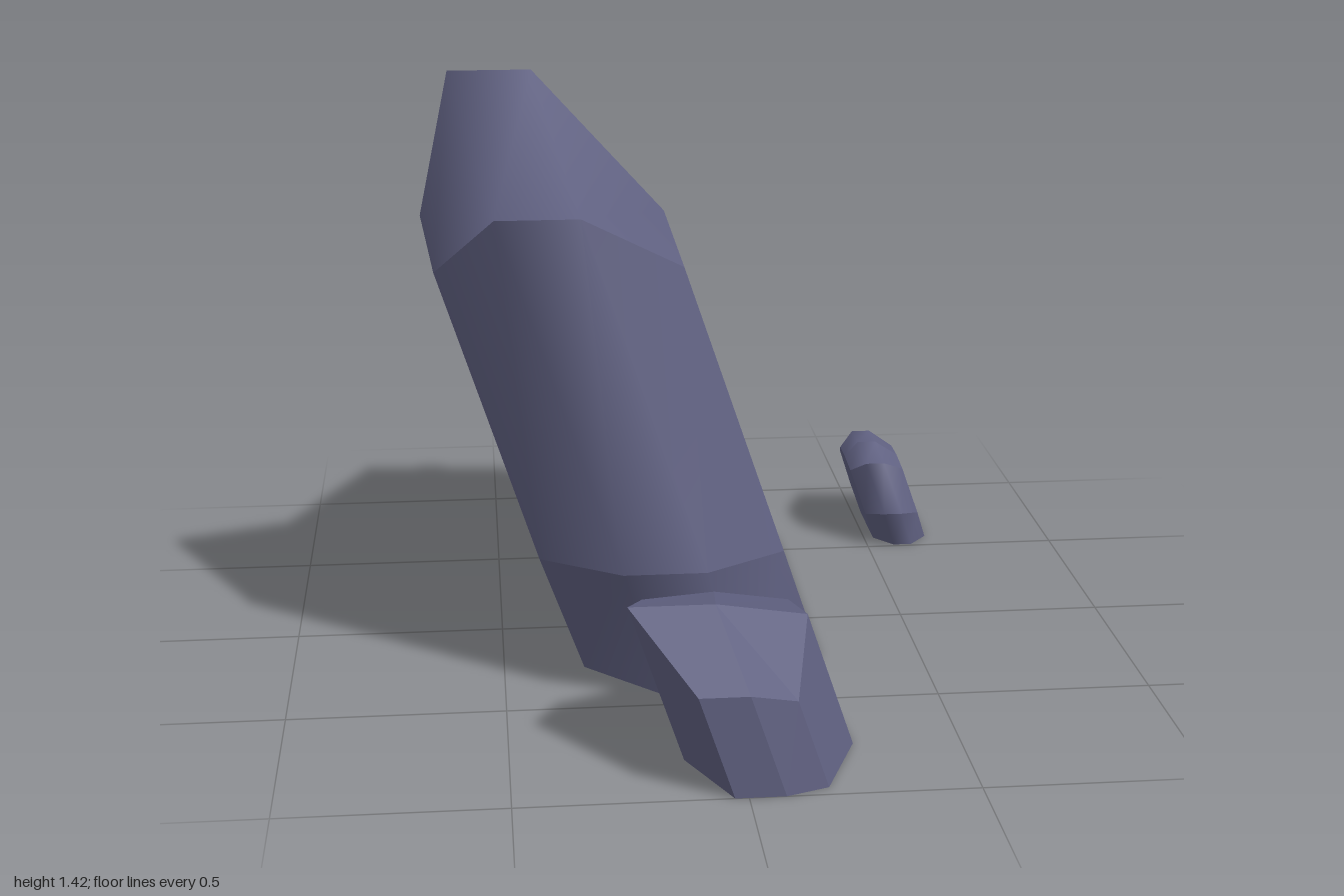
import * as THREE from 'three';

const LEAN = 0.337; // every stone leans towards -x by this much per unit of height
const lean = (x, y, z) => [x - LEAN * y, y, z];

const stone = new THREE.MeshStandardMaterial({ color: 0x5f6080, side: THREE.DoubleSide });
stone.name = 'slateStone';

function makeMesh(name, positions, index) {
  const g = new THREE.BufferGeometry();
  g.setAttribute('position', new THREE.Float32BufferAttribute(positions.flat(), 3));
  if (index) g.setIndex(index);
  g.computeVertexNormals();
  const m = new THREE.Mesh(g, stone);
  m.name = name;
  return m;
}

// Slab stone: outer and inner [z, y] profiles lofted over four x stations, smooth across each band
function slab(name, xs, outer, inner, caps) {
  const group = new THREE.Group();
  group.name = name;
  const rows = [inner, outer, outer, inner];
  const at = (c, i) => lean(xs[c], rows[c][i][1], rows[c][i][0]);
  for (let i = 0; i < outer.length - 1; i++) {
    const pos = [], idx = [];
    for (let c = 0; c < 4; c++) pos.push(at(c, i), at(c, i + 1));
    for (let c = 0; c < 3; c++) {
      const a = c * 2, b = a + 2;
      idx.push(a, b, b + 1, a, b + 1, a + 1);
    }
    group.add(makeMesh('rimBand' + i, pos, idx));
  }
  // Flat side faces
  const poly = [...inner].reverse();
  const tris = THREE.ShapeUtils.triangulateShape(poly.map(([z, y]) => new THREE.Vector2(-z, y)), []);
  for (const [c, label] of caps) {
    const pos = poly.map(([z, y]) => lean(xs[c], y, z));
    const idx = tris.flatMap(([a, b, d]) => (c === 3 ? [a, b, d] : [a, d, b]));
    group.add(makeMesh(label, pos, idx));
  }
  return group;
}

// Faceted front stone: a ring of walls under a ridged top, open towards the big slab
function frontStone() {
  const P = [ // x, z, top height
    [-0.12, 0.8, 0.36], [-0.03, 1.0, 0.23], [0.08, 1.0, 0.23], [0.175, 0.965, 0.2],
    [0.26, 0.75, 0.31], [0.23, 0.48, 0.24], [0.1, 0.43, 0.23],
    [0.07, 0.57, 0.3], [-0.09, 0.68, 0.33], [0.07, 0.8, 0.36],
  ];
  const top = (i) => lean(P[i][0], P[i][2], P[i][1]);
  const base = (i) => lean(P[i][0], 0, P[i][1]);
  const pos = [];
  const face = (a, b, c, d) => {
    pos.push(a, b, c);
    if (d) pos.push(a, c, d);
  };
  for (let i = 0; i < 6; i++) face(base(i), base(i + 1), top(i + 1), top(i));
  for (const f of [[0, 1, 2, 9], [9, 2, 3, 4], [9, 4, 5, 7], [7, 5, 6], [0, 9, 7, 8]]) face(...f.map(top));
  return makeMesh('frontStone', pos);
}

export function createModel() {
  const model = new THREE.Group();
  model.name = 'leaningStones';

  // Tall slab, open on its hidden side
  model.add(slab('tallSlab', [-0.31, -0.12, 0.07, 0.26],
    [[0.46, 0], [0.53, 0.33], [0.48, 1.14], [0.16, 1.42], [-0.17, 1.08], [-0.78, 0.85], [-1, 0.36], [-0.86, 0]],
    [[0.26, 0], [0.35, 0.31], [0.28, 0.98], [0.08, 1.07], [-0.1, 0.92], [-0.59, 0.7], [-0.75, 0.29], [-0.58, 0]],
    [[3, 'slabFace']]));

  model.add(frontStone());

  // Small pebble standing apart
  model.add(slab('pebble', [0.525, 0.572, 0.62, 0.668],
    [[-0.51, 0], [-0.475, 0.1], [-0.52, 0.23], [-0.59, 0.27], [-0.69, 0.27], [-0.82, 0.22], [-0.885, 0.09], [-0.85, 0]],
    [[-0.57, 0], [-0.54, 0.08], [-0.56, 0.2], [-0.61, 0.225], [-0.69, 0.225], [-0.77, 0.19], [-0.81, 0.08], [-0.78, 0]],
    [[3, 'pebbleFace'], [0, 'pebbleBack']]));

  return model;
}
